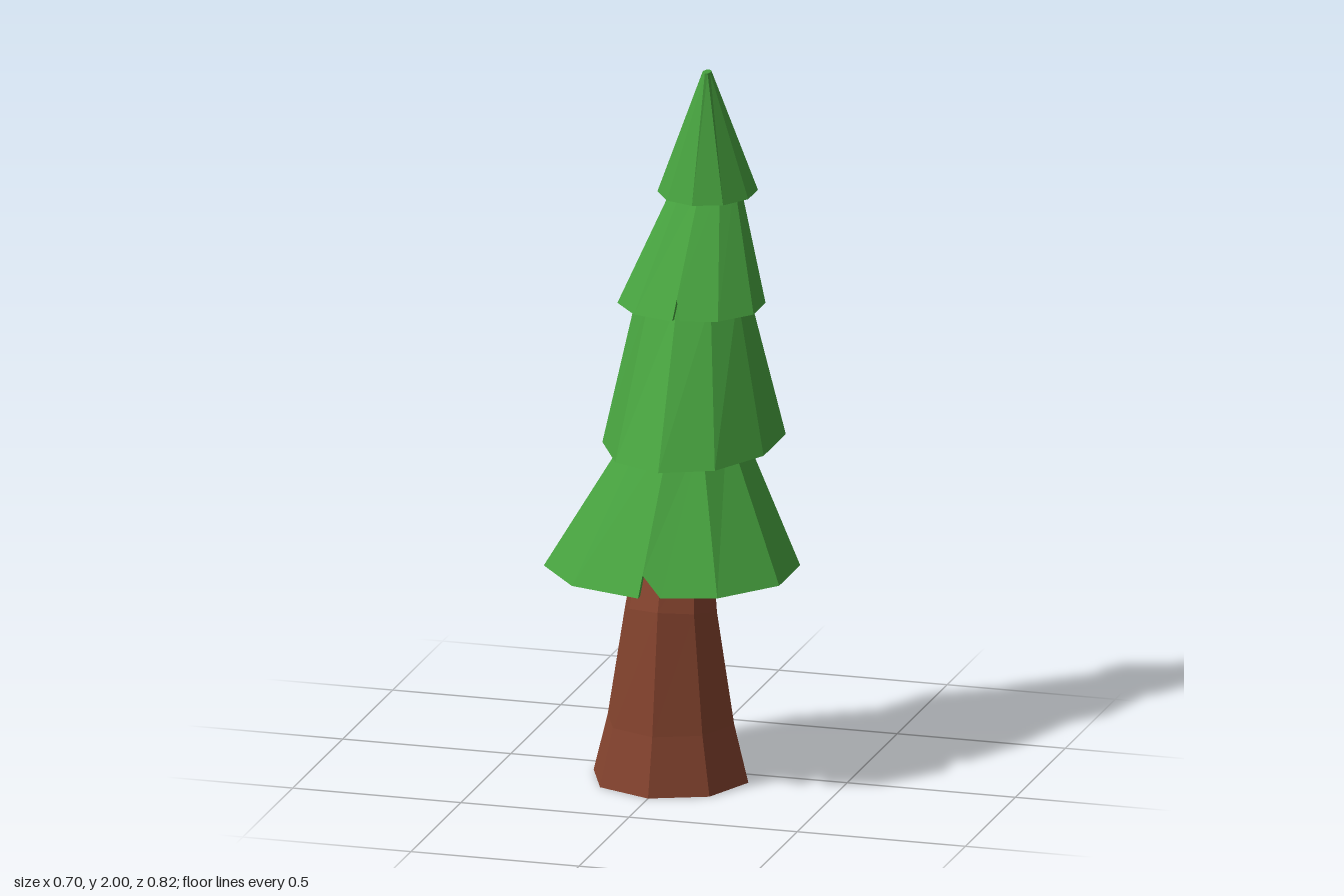
import * as THREE from 'three';

const green = new THREE.MeshStandardMaterial({ color: 0x46a03e, flatShading: true });
green.name = 'needle green';
const brown = new THREE.MeshStandardMaterial({ color: 0x84432e, flatShading: true });
brown.name = 'bark brown';

// Elliptical ring of points, starting at the front and turning towards +x
function ring({ y, x = 0, z, rx, rz = rx, tilt = 0 }, sides, inset = 0) {
  return Array.from({ length: sides }, (_, i) => {
    const a = (i / sides) * Math.PI * 2;
    const dz = Math.cos(a) * Math.max(rz - inset, 0.004);
    return new THREE.Vector3(x + Math.sin(a) * Math.max(rx - inset, 0.004), y + dz * tilt, z + dz);
  });
}

// Adds a convex polygon as a fan of triangles
function fan(out, pts, flip = false) {
  const p = flip ? [...pts].reverse() : pts;
  for (let i = 1; i < p.length - 1; i++) {
    for (const v of [p[0], p[i], p[i + 1]]) out.push(v.x, v.y, v.z);
  }
}

function toMesh(name, out, material) {
  const g = new THREE.BufferGeometry();
  g.setAttribute('position', new THREE.Float32BufferAttribute(out, 3));
  g.computeVertexNormals();
  const m = new THREE.Mesh(g, material);
  m.name = name;
  return m;
}

// Outline of one skirt panel; a notch [width, height] cuts its first lower corner
function panel(lo, hi, i, notch) {
  const j = (i + 1) % lo.length;
  if (!notch) return [hi[j], hi[i], lo[i], lo[j]];
  const [w, h] = notch;
  return [hi[j], hi[i], lo[i].clone().lerp(hi[i], h), lo[i].clone().lerp(lo[j], w), lo[j]];
}

// Hollow ten-sided skirt with thickness and torn notches
function skirt(name, bottom, top, notches) {
  const n = 10, out = [];
  const lo = ring(bottom, n), hi = ring(top, n);
  const loIn = ring(bottom, n, 0.02), hiIn = ring(top, n, 0.02);
  for (let i = 0; i < n; i++) {
    const a = panel(lo, hi, i, notches[i]);
    const b = panel(loIn, hiIn, i, notches[i]);
    fan(out, a);
    fan(out, b, true);
    // Lower rim, including the notch edges
    for (let k = 2; k < a.length - 1; k++) fan(out, [a[k], b[k], b[k + 1], a[k + 1]]);
    if (notches[i]) {
      fan(out, [lo[i], loIn[i], b[2], a[2]]);
      fan(out, [lo[i], loIn[i], b[2], a[2]], true);
    }
  }
  fan(out, hi);
  return toMesh(name, out, green);
}

// Bent, tapering eight-sided trunk
function trunk() {
  const rings = [
    { y: 0, z: 0.08, rx: 0.23 },
    { y: 0.17, z: 0.08, rx: 0.188 },
    { y: 0.5, z: 0.078, rx: 0.136, tilt: 0.18 },
    { y: 0.65, z: 0.045, rx: 0.115, tilt: 0.25 },
    { y: 0.98, z: -0.07, rx: 0.085, tilt: 0.3 },
    { y: 1.35, z: -0.16, rx: 0.06, tilt: 0.3 },
    { y: 1.68, z: -0.25, rx: 0.03, tilt: 0.2 },
  ].map((r) => ring(r, 8));
  const out = [];
  for (let k = 0; k < rings.length - 1; k++) {
    for (let i = 0; i < 8; i++) fan(out, panel(rings[k], rings[k + 1], i));
  }
  fan(out, rings[0], true);
  fan(out, rings[rings.length - 1]);
  return toMesh('trunk', out, brown);
}

export function createModel() {
  const tree = new THREE.Group();
  tree.name = 'leaningPine';
  tree.add(
    trunk(),
    skirt('lowestBranches',
      { y: 0.625, z: 0.07, rx: 0.368, rz: 0.34 },
      { y: 1.02, z: -0.085, rx: 0.14, rz: 0.172 },
      { 0: [0.28, 0.14], 3: [0.35, 0.12], 7: [0.15, 0.1] }),
    skirt('lowerMiddleBranches',
      { y: 0.975, x: 0.033, z: -0.04, rx: 0.252, rz: 0.36 },
      { y: 1.39, x: -0.003, z: -0.15, rx: 0.155, rz: 0.16 },
      { 3: [0.09, 0.9] }),
    skirt('upperMiddleBranches',
      { y: 1.35, z: -0.125, rx: 0.213, rz: 0.193 },
      { y: 1.68, x: 0.006, z: -0.27, rx: 0.09, rz: 0.075 },
      { 0: [0.17, 0.16], 7: [0.2, 0.2] }),
    skirt('topBranches',
      { y: 1.648, x: 0.01, z: -0.253, rx: 0.142, rz: 0.157 },
      { y: 2, x: 0.006, z: -0.26, rx: 0.012, rz: 0.022 },
      { 7: [0.15, 0.9] }),
  );
  return tree;
}
